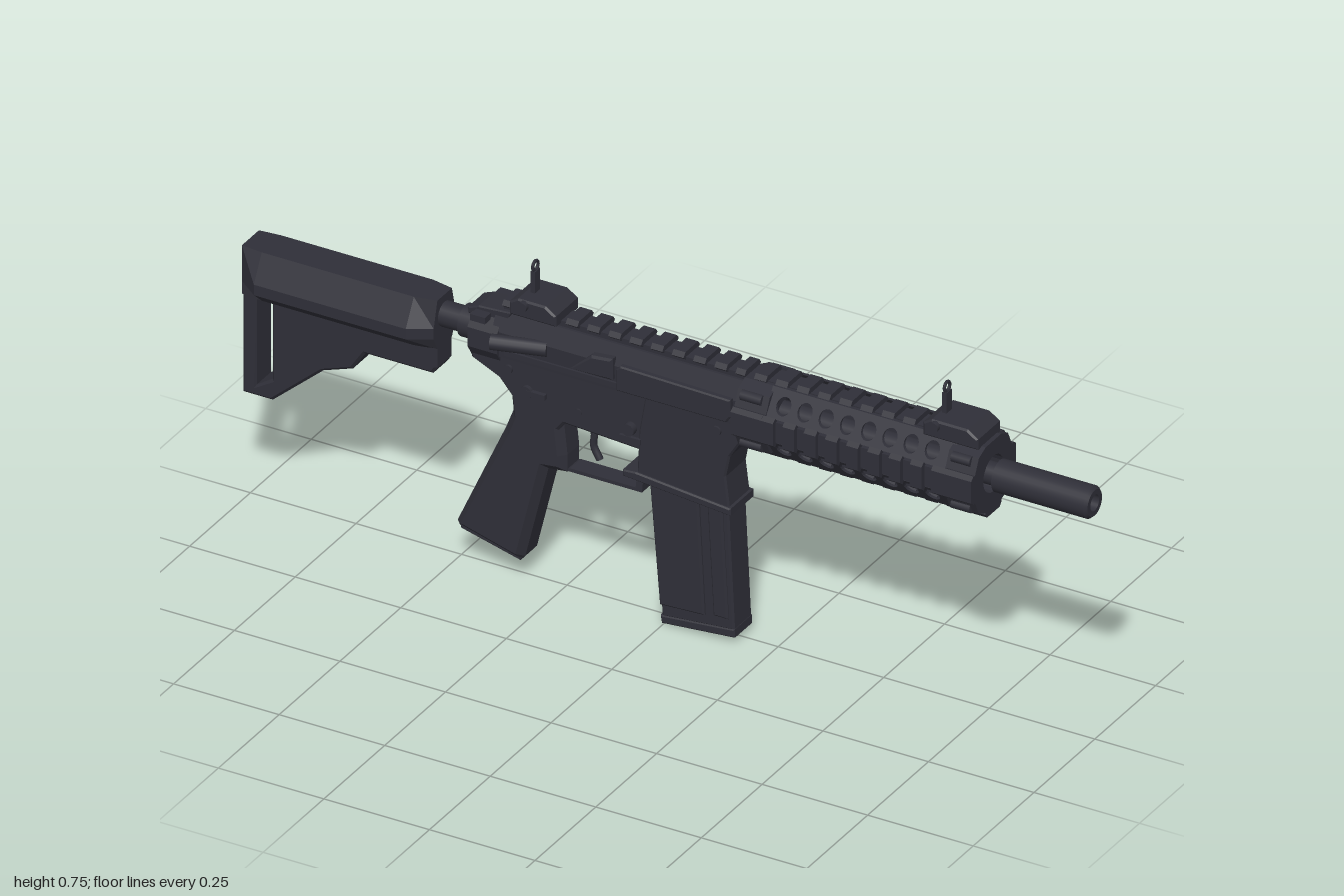
import * as THREE from 'three';

export function createModel() {
  const root = new THREE.Group();
  root.name = 'rifle';
  const metal = new THREE.MeshStandardMaterial({ color: 0x2f2f38 });
  metal.name = 'dark gunmetal';
  const CY = 0.565; // height of the barrel axis

  const add = (name, geo, parent = root) => {
    const m = new THREE.Mesh(geo, metal);
    m.name = name;
    parent.add(m);
    return m;
  };
  // Box from its limits
  const box = (name, x0, x1, y0, y1, z0, z1, parent) => {
    const g = new THREE.BoxGeometry(x1 - x0, y1 - y0, z1 - z0);
    g.translate((x0 + x1) / 2, (y0 + y1) / 2, (z0 + z1) / 2);
    return add(name, g, parent);
  };
  const shapeOf = (pts) => new THREE.Shape(pts.map((p) => new THREE.Vector2(p[0], p[1])));
  // Side profile extruded across z, with chamfered edges
  const slab = (name, pts, half, b = 0, holes = []) => {
    const s = shapeOf(pts);
    holes.forEach((h) => s.holes.push(shapeOf(h)));
    const g = new THREE.ExtrudeGeometry(s, {
      depth: 2 * (half - b), bevelEnabled: b > 0, bevelSize: b, bevelOffset: -b,
      bevelThickness: b, bevelSegments: 1, curveSegments: 6,
    });
    g.translate(0, 0, -(half - b));
    return add(name, g);
  };
  // Cross-section in (z, y) extruded along x
  const bar = (name, pts, x0, x1, parent, holeR = 0) => {
    const s = shapeOf(pts.map(([z, y]) => [-z, y]));
    if (holeR) s.holes.push(new THREE.Path().absarc(0, 0, holeR, 0, Math.PI * 2, true));
    const g = new THREE.ExtrudeGeometry(s, { depth: x1 - x0, bevelEnabled: false, curveSegments: 12 });
    g.rotateY(Math.PI / 2);
    g.translate(x0, 0, 0);
    return add(name, g, parent);
  };
  // Cylinder along x
  const rod = (name, x0, x1, r, y = CY, z = 0, n = 24) => {
    const g = new THREE.CylinderGeometry(r, r, x1 - x0, n);
    g.rotateZ(Math.PI / 2);
    g.translate((x0 + x1) / 2, y, z);
    return add(name, g);
  };
  // Cylinder along z
  const button = (name, x, y, z, r, len) => {
    const g = new THREE.CylinderGeometry(r, r, len, 14);
    g.rotateX(Math.PI / 2);
    g.translate(x, y, z);
    return add(name, g);
  };

  // Stock: rings of eight points lofted along x, closed at both ends
  const rings = [[-1, 0.035, 0.035], [-0.95, 0.073, 0.04], [-0.59, 0.073, 0.04], [-0.54, 0.045, 0.03]]
    .map(([x, w, t]) => [[t, 0.61], [w, 0.55], [w, 0.525], [t, 0.495], [-t, 0.495], [-w, 0.525], [-w, 0.55], [-t, 0.61]]
      .map(([z, y]) => [x, y, z]));
  const pos = [];
  const tri = (a, b, c) => pos.push(...a, ...b, ...c);
  for (let i = 0; i < 3; i++) for (let j = 0; j < 8; j++) {
    const k = (j + 1) % 8, a = rings[i], b = rings[i + 1];
    tri(a[j], a[k], b[k]);
    tri(a[j], b[k], b[j]);
  }
  for (let j = 1; j < 7; j++) {
    tri(rings[0][0], rings[0][j + 1], rings[0][j]);
    tri(rings[3][0], rings[3][j], rings[3][j + 1]);
  }
  const stockGeo = new THREE.BufferGeometry();
  stockGeo.setAttribute('position', new THREE.Float32BufferAttribute(pos, 3));
  stockGeo.computeVertexNormals();
  add('stockBody', stockGeo);
  slab('stockFrame', [[-1, 0.26], [-0.93, 0.26], [-0.81, 0.365], [-0.74, 0.39], [-0.71, 0.435],
    [-0.55, 0.435], [-0.54, 0.45], [-0.54, 0.58], [-1, 0.608]], 0.035, 0.006,
  [[[-0.968, 0.285], [-0.968, 0.5], [-0.93, 0.5], [-0.93, 0.31]]]);
  rod('bufferTube', -0.56, -0.44, 0.028);
  rod('castleNut', -0.49, -0.455, 0.036);

  // Receiver
  slab('lowerReceiver', [[-0.46, 0.53], [-0.455, 0.505], [-0.39, 0.475], [-0.36, 0.44], [-0.355, 0.39],
    [-0.25, 0.39], [-0.235, 0.41], [-0.06, 0.4], [0, 0.4], [0.15, 0.42], [0.17, 0.48], [0.19, 0.5], [0.19, 0.55], [-0.46, 0.55]], 0.04, 0.006);
  slab('magazineWell', [[-0.06, 0.335], [0.16, 0.32], [0.15, 0.4], [0.16, 0.45], [0.185, 0.49], [0.185, 0.54],
    [-0.04, 0.54], [-0.055, 0.45]], 0.044, 0.004);
  slab('magazineWellLip', [[-0.09, 0.335], [0.165, 0.313], [0.165, 0.33], [-0.06, 0.352], [-0.09, 0.35]], 0.05, 0.003);
  bar('upperReceiver', [[0.045, 0.53], [0.048, 0.59], [0.03, 0.632], [-0.03, 0.632], [-0.048, 0.59], [-0.045, 0.53]], -0.4, 0.2);
  bar('receiverRear', [[0.035, 0.51], [0.054, 0.54], [0.054, 0.585], [0.03, 0.62], [-0.03, 0.62], [-0.054, 0.585],
    [-0.054, 0.54], [-0.035, 0.51]], -0.455, -0.385);
  slab('chargingHandle', [[-0.465, 0.605], [-0.38, 0.6], [-0.36, 0.635], [-0.44, 0.63], [-0.465, 0.62]], 0.035, 0.003);
  box('chargingLatch', -0.445, -0.41, 0.607, 0.622, -0.065, 0.06);
  slab('ejectionCover', [[-0.1, 0.54], [0.16, 0.54], [0.17, 0.555], [0.17, 0.595], [-0.09, 0.6], [-0.1, 0.59]], 0.008, 0.003)
    .position.z = 0.052;
  box('receiverRidge', -0.37, 0.18, 0.54, 0.552, -0.051, 0.051);
  const assist = rod('forwardAssist', -0.06, 0.06, 0.017, 0, 0, 14);
  assist.position.set(-0.33, 0.58, 0.058);
  assist.rotation.y = 0.28;
  slab('brassDeflector', [[-0.21, 0.56], [-0.11, 0.56], [-0.11, 0.61], [-0.16, 0.605]], 0.012, 0.005).position.z = 0.048;

  // Controls
  for (const s of [1, -1]) {
    button('selectorPivot', -0.32, 0.465, s * 0.042, 0.014, 0.014);
    box('selectorLever', -0.32, -0.275, 0.459, 0.471, s * 0.045 - 0.005, s * 0.045 + 0.005);
    button('rearPin', -0.365, 0.505, s * 0.04, 0.01, 0.01);
    button('hammerPin', -0.2, 0.45, s * 0.04, 0.008, 0.006);
    button('frontPin', 0.13, 0.505, s * 0.045, 0.011, 0.008);
  }
  button('magazineRelease', -0.075, 0.45, 0.045, 0.014, 0.02);
  box('releaseFence', -0.1, -0.05, 0.418, 0.43, 0.03, 0.047);
  box('boltCatch', -0.09, -0.06, 0.42, 0.5, -0.056, -0.036);
  box('boltCatchPaddle', -0.1, -0.03, 0.465, 0.5, -0.054, -0.036);
  button('boltCatchPin', -0.03, 0.44, -0.047, 0.015, 0.018);

  // Trigger and guard
  slab('triggerGuard', [[-0.25, 0.29], [-0.06, 0.29], [-0.055, 0.34], [-0.07, 0.34], [-0.075, 0.298], [-0.23, 0.298]], 0.022);
  const trig = new THREE.CatmullRomCurve3([[-0.195, 0.42], [-0.185, 0.385], [-0.187, 0.355], [-0.172, 0.325]]
    .map(([x, y]) => new THREE.Vector3(x, y, 0)));
  add('trigger', new THREE.TubeGeometry(trig, 10, 0.008, 8));

  // Pistol grip
  slab('grip', [[-0.355, 0.42], [-0.38, 0.355], [-0.495, 0.1], [-0.49, 0.09], [-0.345, 0.05], [-0.335, 0.06],
    [-0.28, 0.285], [-0.235, 0.29], [-0.235, 0.33], [-0.245, 0.42]], 0.04, 0.016);
  slab('gripCap', [[-0.49, 0.1], [-0.485, 0.084], [-0.345, 0.048], [-0.34, 0.062]], 0.03, 0.004);

  // Magazine: wide rear body, narrower front spine and a floor plate
  slab('magazineBody', [[-0.03, 0.34], [-0.006, 0.05], [0.1, 0.055], [0.085, 0.34]], 0.045, 0.004);
  slab('magazineSpine', [[-0.028, 0.34], [-0.004, 0.02], [0.167, 0.035], [0.152, 0.34]], 0.037, 0.004);
  slab('magazineRib', [[0.105, 0.33], [0.12, 0.06], [0.155, 0.06], [0.14, 0.33]], 0.043, 0.004);
  slab('magazineFloor', [[-0.008, 0.022], [-0.005, 0.003], [0.168, 0.018], [0.168, 0.038]], 0.038, 0.003);

  // Barrel with a hollow muzzle
  rod('barrel', 0.19, 0.79, 0.025);
  const muzzle = new THREE.LatheGeometry([[0.018, 0.9], [0.018, 1], [0.03, 1], [0.036, 0.993], [0.036, 0.775], [0, 0.775]]
    .reverse().map(([r, x]) => new THREE.Vector2(r, x)).flatMap((p) => [p, p.clone()]), 28);
  muzzle.rotateZ(-Math.PI / 2);
  muzzle.translate(0, CY, 0);
  add('muzzle', muzzle);
  rod('boreFloor', 0.89, 0.9, 0.019);

  // Handguard: end rings, pierced slanted panels, four toothed rails
  const guard = new THREE.Group();
  guard.name = 'handguard';
  root.add(guard);
  const oct = [[0.032, 0.078], [0.06, 0.066], [0.076, 0.032], [0.076, -0.032], [0.06, -0.066], [0.032, -0.078]];
  const ring = [...oct, ...oct.map(([z, y]) => [-z, -y])];
  for (const [x0, x1, hole] of [[0.19, 0.265, 0.03], [0.69, 0.76, 0.042]])
    bar('guardRing', ring, x0, x1, guard, hole).position.y = CY;
  for (const sy of [1, -1]) for (const sz of [1, -1]) {
    const s = shapeOf([[0.26, 0.028], [0.7, 0.028], [0.7, 0.082], [0.26, 0.082]]);
    for (let i = 0; i < 8; i++)
      s.holes.push(new THREE.Path().absarc(0.297 + i * 0.0503, 0.053, 0.017, 0, Math.PI * 2, true));
    const g = new THREE.ExtrudeGeometry(s, { depth: 0.008, bevelEnabled: false, curveSegments: 8 });
    const p = g.attributes.position;
    for (let i = 0; i < p.count; i++) p.setZ(i, p.getZ(i) + 0.068 - (p.getY(i) - 0.028) * 0.7);
    g.computeVertexNormals();
    if (sy < 0) g.rotateX(Math.PI); // flips both y and z
    const flip = sy * sz < 0;
    if (flip) { // mirror in z and restore the corner order
      g.scale(1, 1, -1);
      for (let i = 0; i < p.count; i += 3) {
        const a = new THREE.Vector3().fromBufferAttribute(p, i + 1);
        const b = new THREE.Vector3().fromBufferAttribute(p, i + 2);
        p.setXYZ(i + 1, b.x, b.y, b.z);
        p.setXYZ(i + 2, a.x, a.y, a.z);
      }
      g.computeVertexNormals();
    }
    add('ventPanel', g, guard).position.y = CY;
    rod('guardScrew', 0.2, 0.25, 0.012, CY + sy * 0.055, sz * 0.062, 10);
    rod('guardScrew', 0.7, 0.745, 0.012, CY + sy * 0.055, sz * 0.062, 10);
  }
  // One rail: base strip plus teeth, pointing up before rotation
  const rail = (name, x0, x1, r, parent) => {
    const g = new THREE.Group();
    g.name = name;
    box('railBase', x0, x1, r - 0.03, r - 0.012, -0.024, 0.024, g);
    const tooth = [[0.022, r - 0.02], [0.034, r - 0.01], [0.026, r], [-0.026, r], [-0.034, r - 0.01], [-0.022, r - 0.02]];
    for (let x = x0; x < x1 - 0.01; x += 0.0503) bar('railTooth', tooth, x, Math.min(x + 0.028, x1), g);
    parent.add(g);
    g.position.y = CY;
    return g;
  };
  const solid = (r) => [[0.026, r - 0.03], [0.034, r - 0.01], [0.026, r], [-0.026, r], [-0.034, r - 0.01], [-0.026, r - 0.03]];
  for (let i = 0; i < 4; i++) {
    const g = rail('guardRail', 0.212, 0.75, 0.092, guard);
    if (i) for (const [x0, x1] of [[0.19, 0.262], [0.69, 0.76]]) bar('railEnd', solid(0.092), x0, x1, g);
    g.rotation.x = (i * Math.PI) / 2;
  }
  rail('receiverRail', -0.385, 0.19, 0.092, root);

  // Flip-up sights
  const sight = (name, x0, x1, post, h) => {
    const g = new THREE.Group();
    g.name = name;
    slab('sightBase', [[x0, 0.64], [x1, 0.64], [x1, 0.665], [x1 - 0.025, 0.682], [x0 + 0.02, 0.682], [x0, 0.67]], 0.048, 0.004);
    button('sightKnob', post, 0.67, 0.05, 0.011, 0.014);
    box('sightPost', post - 0.005, post + 0.005, 0.68, h - 0.025, -0.011, 0.011, g);
    const t = new THREE.TorusGeometry(0.011, 0.0035, 6, 18);
    t.rotateY(Math.PI / 2);
    t.translate(post, h - 0.015, 0);
    add('sightRing', t, g);
    root.add(g);
  };
  sight('frontSight', 0.62, 0.75, 0.65, 0.755);
  sight('rearSight', -0.36, -0.25, -0.325, 0.757);

  return root;
}
